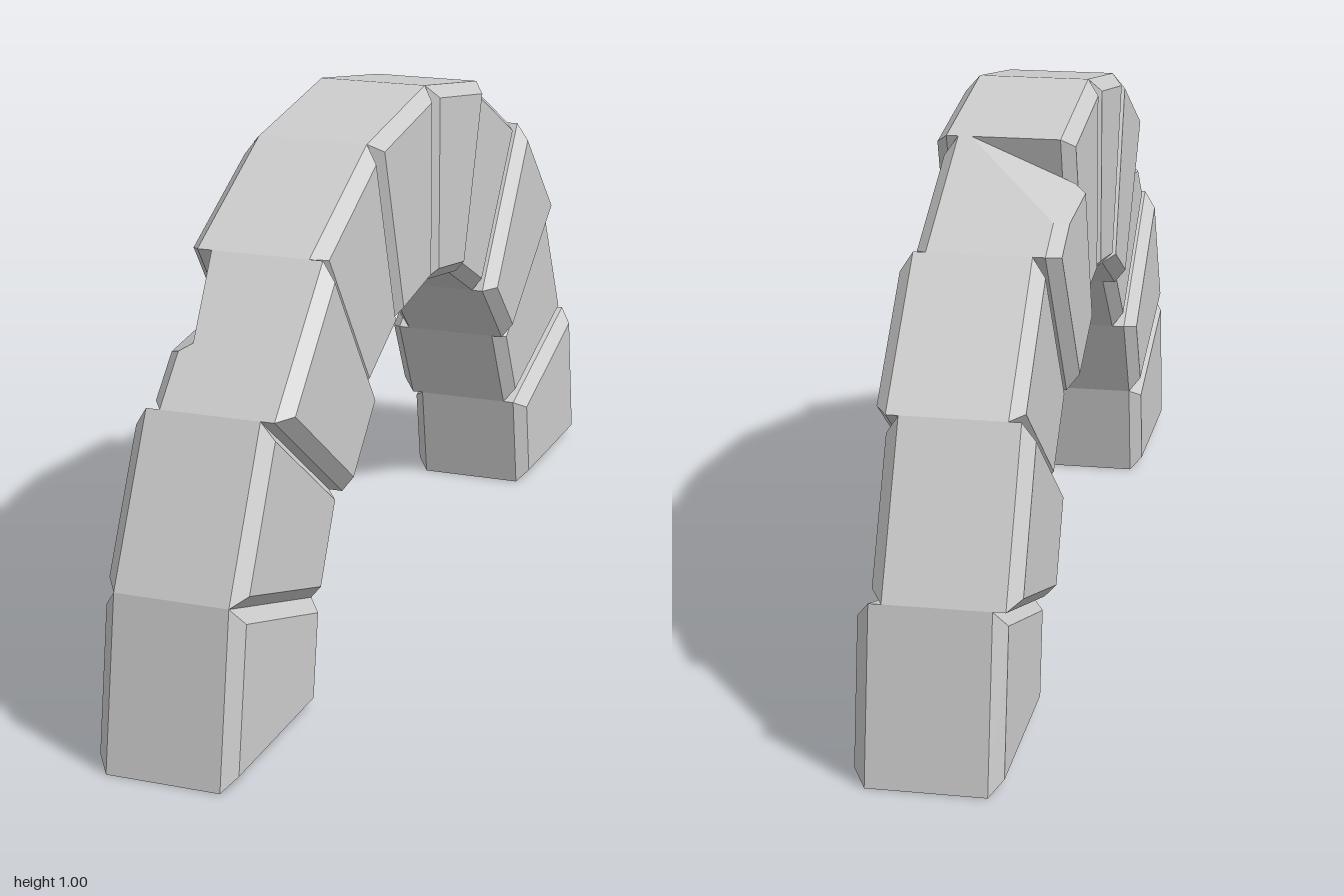
import * as THREE from 'three';
import { ConvexGeometry } from 'three/addons/geometries/ConvexGeometry.js';

const COUNT = 10, STEP = Math.PI / COUNT;
const OUTER = 1, INNER = 0.62, HALF = 0.127, BEVEL = 0.023;
const V = (x, y, z) => new THREE.Vector3(x, y, z);
const polar = (r, a) => V(0, r * Math.sin(a), r * Math.cos(a));

// Bounding planes (n·p <= d) of one wedge stone with bevelled side faces
function stonePlanes(i, shift) {
  const a0 = i * STEP, a1 = a0 + STEP, mid = a0 + STEP / 2;
  const radial = polar(1, mid), flat = Math.cos(STEP / 2);
  const rim = [
    { n: radial, d: OUTER * flat },
    { n: radial.clone().negate(), d: -INNER * flat },
    { n: polar(1, a0 - Math.PI / 2), d: 0 },
    { n: polar(1, a1 + Math.PI / 2), d: 0 },
  ];
  const planes = [...rim];
  for (const s of [-1, 1]) {
    planes.push({ n: V(s, 0, 0), d: HALF + s * shift });
    for (const { n, d } of rim) {
      planes.push({ n: n.clone().add(V(s, 0, 0)), d: d + HALF - BEVEL + s * shift });
    }
  }
  return planes;
}

// Plane through three points that keeps the side holding the stone's centre
function cutPlane(points, centre) {
  const [a, b, c] = points.map((p) => V(...p));
  const n = b.clone().sub(a).cross(c.clone().sub(a)).normalize();
  if (n.dot(centre) > n.dot(a)) n.negate();
  return { n, d: n.dot(a) };
}

// Convex solid from the corners where its planes meet
function solid(planes) {
  const corners = [];
  const count = planes.length;
  for (let i = 0; i < count; i++) for (let j = i + 1; j < count; j++) for (let k = j + 1; k < count; k++) {
    const [A, B, C] = [planes[i], planes[j], planes[k]];
    const bc = B.n.clone().cross(C.n), det = A.n.dot(bc);
    if (Math.abs(det) < 1e-6) continue;
    const p = bc.multiplyScalar(A.d)
      .addScaledVector(C.n.clone().cross(A.n), B.d)
      .addScaledVector(A.n.clone().cross(B.n), C.d)
      .divideScalar(det);
    const inside = planes.every((q) => q.n.dot(p) <= q.d + 1e-6);
    if (inside && !corners.some((q) => q.distanceTo(p) < 1e-4)) corners.push(p);
  }
  return new ConvexGeometry(corners);
}

// Stones standing slightly proud of the others
const SHIFTS = { 2: 0.022, 6: -0.025, 8: -0.025 };

// Broken corners: one cut slices a corner off, two cuts leave a notch
const CHIPS = {
  2: [
    [[-0.08, 0.807, 0.59], [-0.06, 0.68, 0.717], [-0.094, 0.775, 0.563]],
    [[-0.06, 0.68, 0.717], [-0.081, 0.676, 0.654], [-0.1, 0.66, 0.71]],
  ],
  6: [[[-0.13, 0.849, -0.51], [0.055, 0.951, -0.309], [-0.15, 0.856, -0.278]]],
};

export function createModel() {
  const arch = new THREE.Group();
  arch.name = 'stoneArch';
  const material = new THREE.MeshStandardMaterial({ color: 0xcccccc, flatShading: true });

  for (let i = 0; i < COUNT; i++) {
    const stone = new THREE.Group();
    stone.name = `archStone${i + 1}`;
    const planes = stonePlanes(i, SHIFTS[i] ?? -0.003);
    const centre = polar((OUTER + INNER) / 2, (i + 0.5) * STEP);
    const cuts = CHIPS[i] ?? [null];
    // A notched stone is the union of the stone trimmed by each cut
    for (const cut of cuts) {
      const body = new THREE.Mesh(solid(cut ? [...planes, cutPlane(cut, centre)] : planes), material);
      body.name = cut ? 'chippedStoneBody' : 'stoneBody';
      stone.add(body);
    }
    arch.add(stone);
  }
  return arch;
}
